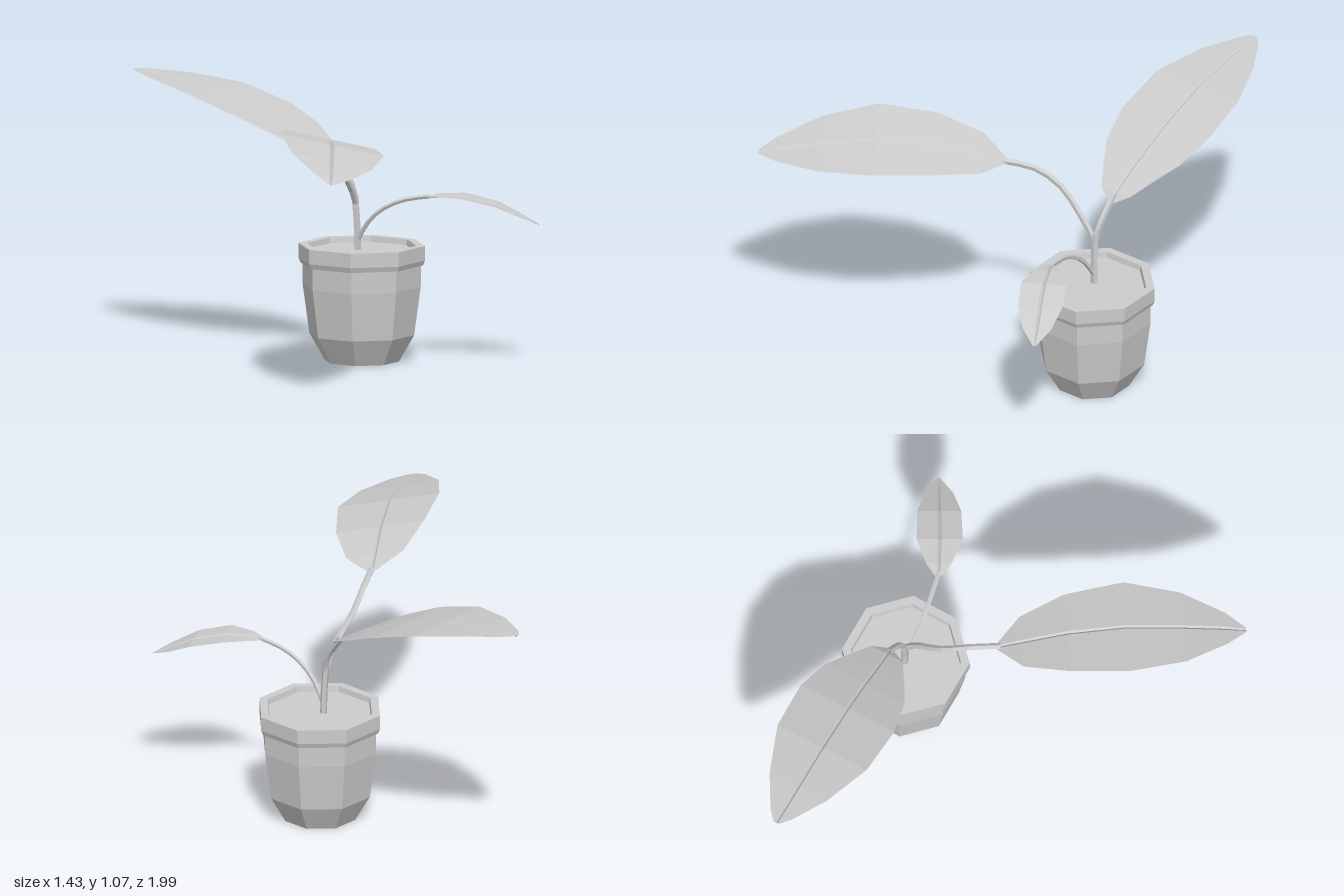
import * as THREE from 'three';

const mat = new THREE.MeshStandardMaterial({ color: 0xcccccc, flatShading: true });
const leafMat = new THREE.MeshStandardMaterial({ color: 0xcccccc, flatShading: true, side: THREE.DoubleSide });
const V = (a) => new THREE.Vector3(...a);
const PHASE = THREE.MathUtils.degToRad(25);

function add(group, name, geometry, material = mat) {
  const mesh = new THREE.Mesh(geometry, material);
  mesh.name = name;
  group.add(mesh);
  return mesh;
}

// Five-sided stalk through the given points
function stalk(group, name, points, radius) {
  const curve = new THREE.CatmullRomCurve3(points.map(V));
  add(group, name, new THREE.TubeGeometry(curve, 8, radius, 5));
}

// Leaf blade: rows are [x, y, z, halfWidth] along the midrib, with a small groove down the middle
function leaf(group, name, side, rows) {
  const s = V(side);
  const pos = [], index = [];
  rows.forEach(([x, y, z, w], i) => {
    const g = Math.min(0.008, w * 0.5);
    for (const [o, dy] of [[-w, 0], [-g, 0], [0, -g], [g, 0], [w, 0]]) {
      pos.push(x + s.x * o, y + s.y * o + dy, z + s.z * o);
    }
    if (i === 0) return;
    for (let k = 0; k < 4; k++) {
      const a = (i - 1) * 5 + k, b = i * 5 + k;
      index.push(a, a + 1, b, b, a + 1, b + 1);
    }
  });
  const geo = new THREE.BufferGeometry();
  geo.setAttribute('position', new THREE.Float32BufferAttribute(pos, 3));
  geo.setIndex(index);
  geo.computeVertexNormals();
  add(group, name, geo, leafMat);
}

export function createModel() {
  const plant = new THREE.Group();
  plant.name = 'pottedPlant';

  // Eight-sided pot with a rim
  const profile = [[0, 0], [0.147, 0], [0.207, 0.105], [0.233, 0.295], [0.234, 0.38], [0.242, 0.38],
    [0.25, 0.4], [0.25, 0.457], [0.216, 0.457], [0.21, 0.425]].map(([r, y]) => new THREE.Vector2(r, y));
  add(plant, 'pot', new THREE.LatheGeometry(profile, 8, PHASE)).position.set(0.065, 0, -0.282);

  // Soil
  const soil = add(plant, 'soil', new THREE.CylinderGeometry(0.213, 0.2, 0.03, 8, 1, false, PHASE));
  soil.position.set(0.065, 0.42, -0.282);

  // Stems
  stalk(plant, 'mainStem', [[0.05, 0.42, -0.29], [0.048, 0.52, -0.29], [0.04, 0.65, -0.295]], 0.014);
  stalk(plant, 'backLeafStem', [[0.042, 0.62, -0.293], [0.03, 0.69, -0.315], [-0.02, 0.79, -0.372]], 0.013);
  stalk(plant, 'frontLeafStem', [[0.042, 0.62, -0.292], [0.01, 0.7, -0.25], [-0.065, 0.81, -0.17],
    [-0.105, 0.875, -0.07], [-0.135, 0.895, 0.05]], 0.013);
  stalk(plant, 'sideLeafStem', [[0.05, 0.47, -0.29], [0.085, 0.55, -0.25], [0.14, 0.61, -0.2],
    [0.21, 0.648, -0.15], [0.3, 0.668, -0.095]], 0.009);

  // Large back leaf
  leaf(plant, 'backLeaf', [0.66, 0, -0.75], [
    [-0.005, 0.765, -0.36, 0.015], [-0.03, 0.795, -0.38, 0.07], [-0.1, 0.845, -0.44, 0.125],
    [-0.165, 0.89, -0.5, 0.175], [-0.27, 0.95, -0.593, 0.206], [-0.428, 1.015, -0.731, 0.197],
    [-0.578, 1.048, -0.863, 0.125], [-0.68, 1.062, -0.955, 0.045], [-0.708, 1.065, -0.98, 0.012]]);

  // Arching front leaf, tilted down on its left
  leaf(plant, 'frontLeaf', [0.988, -0.22, 0.154], [
    [-0.133, 0.893, 0.035, 0.013], [-0.146, 0.925, 0.13, 0.112], [-0.165, 0.965, 0.31, 0.173],
    [-0.197, 0.978, 0.54, 0.2], [-0.237, 0.947, 0.755, 0.155], [-0.268, 0.913, 0.92, 0.07],
    [-0.285, 0.893, 0.995, 0.01]]);

  // Small side leaf
  leaf(plant, 'sideLeaf', [-0.226, 0, 0.974], [
    [0.285, 0.665, -0.1, 0.015], [0.333, 0.672, -0.088, 0.05], [0.43, 0.67, -0.062, 0.09],
    [0.555, 0.638, -0.035, 0.086], [0.645, 0.595, -0.015, 0.055], [0.715, 0.562, 0, 0.006]]);

  return plant;
}
